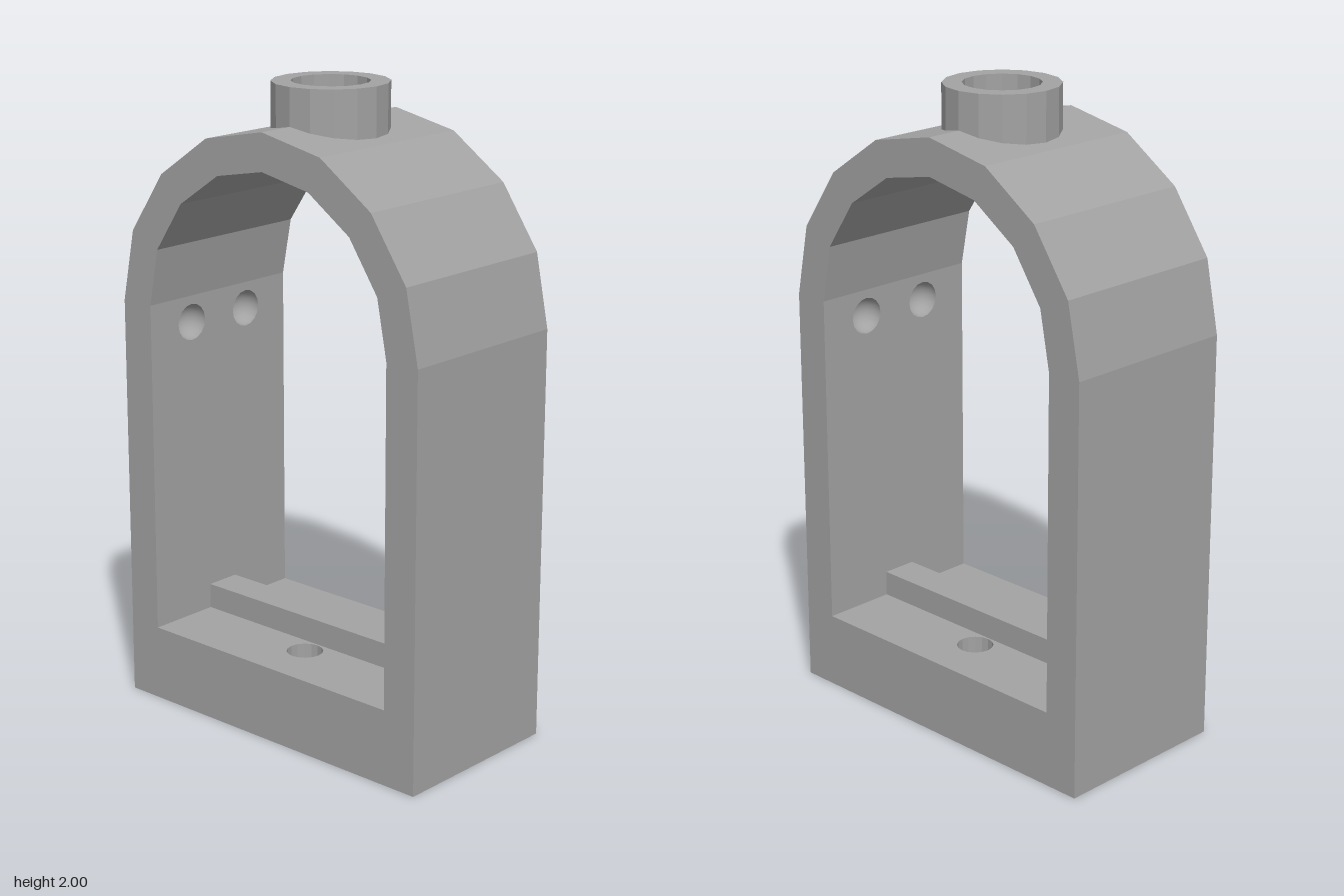
import * as THREE from 'three';

const HALF_W = 0.295, HALF_D = 0.59, INNER_D = 0.475;
const FLOOR_Y = 0.24, CAVITY_Y = 0.12, SPRING_Y = 1.295;
const DENT_R = 0.058, HOLE_R = 0.057, KNOB_X = 0.12;

function rectPoints(x0, y0, x1, y1) {
  return [[x0, y0], [x1, y0], [x1, y1], [x0, y1]].map(([x, y]) => new THREE.Vector2(x, y));
}

function circle(x, y, r) {
  return new THREE.Path().absarc(x, y, r, 0, Math.PI * 2, true);
}

function extrude(shape, depth) {
  return new THREE.ExtrudeGeometry(shape, { depth, bevelEnabled: false, curveSegments: 8 });
}

export function createModel() {
  const grey = new THREE.MeshStandardMaterial({ color: 0xa3a3a3, side: THREE.DoubleSide });
  grey.name = 'grey';
  const model = new THREE.Group();
  model.name = 'archedFrame';

  const add = (name, geometry, parent = model) => {
    const mesh = new THREE.Mesh(geometry, grey);
    mesh.name = name;
    parent.add(mesh);
    return mesh;
  };

  // Hollow skirt of the base, open underneath
  const skirt = new THREE.Shape(rectPoints(-HALF_W, -HALF_D, HALF_W, HALF_D));
  skirt.holes.push(new THREE.Path(rectPoints(-0.18, -INNER_D, 0.18, INNER_D).reverse()));
  add('baseSkirt', extrude(skirt, CAVITY_Y).rotateX(-Math.PI / 2));

  // Floor plate with two through holes
  const floor = new THREE.Shape(rectPoints(-HALF_W, -HALF_D, HALF_W, HALF_D));
  for (const s of [-1, 1]) floor.holes.push(circle(s * KNOB_X, 0, HOLE_R));
  add('baseFloor', extrude(floor, FLOOR_Y - CAVITY_Y).rotateX(-Math.PI / 2).translate(0, CAVITY_Y, 0));

  // Small ribs inside the cavity
  for (const sx of [-1, 1]) {
    for (const sz of [-1, 1]) {
      add('cavityRib', new THREE.BoxGeometry(0.06, CAVITY_Y, 0.06))
        .position.set(sx * 0.15, CAVITY_Y / 2, sz * 0.19);
    }
  }

  // Raised bar along the floor
  add('floorBar', new THREE.BoxGeometry(0.115, 0.08, INNER_D * 2)).position.y = FLOOR_Y + 0.04;

  // Legs: plain outer slab, inner slab with two round dents
  const slab = 0.06, legH = SPRING_Y - FLOOR_Y;
  for (const turn of [0, Math.PI]) {
    const leg = new THREE.Group();
    leg.name = turn ? 'backLeg' : 'frontLeg';
    leg.rotation.y = turn;
    const outerT = HALF_D - INNER_D - slab;
    add('legOuterSlab', new THREE.BoxGeometry(HALF_W * 2, legH, outerT), leg)
      .position.set(0, FLOOR_Y + legH / 2, HALF_D - outerT / 2);

    const inner = new THREE.Shape(rectPoints(-HALF_W, FLOOR_Y, HALF_W, SPRING_Y));
    for (const s of [-1, 1]) {
      inner.holes.push(circle(s * KNOB_X, 1.21, DENT_R));
      const dent = new THREE.SphereGeometry(DENT_R, 16, 6, 0, Math.PI * 2, 0, Math.PI / 2);
      add('dent', dent.rotateX(Math.PI / 2), leg).position.set(s * KNOB_X, 1.21, INNER_D);
    }
    add('legInnerSlab', extrude(inner, slab).translate(0, 0, INNER_D), leg);
    model.add(leg);
  }

  // Faceted arch, drawn as a z-y section and extruded across the width
  const outerArc = [[0.59, SPRING_Y], [0.545, 1.52], [0.415, 1.71], [0.225, 1.84], [0, 1.885]];
  const innerArc = [[0.475, SPRING_Y], [0.44, 1.475], [0.335, 1.63], [0.18, 1.735], [0, 1.77]];
  const fullArc = (half) => [...half, ...half.slice(0, -1).reverse().map(([z, y]) => [-z, y])];
  const section = [...fullArc(outerArc), ...fullArc(innerArc).reverse()];
  const arch = new THREE.Shape(section.map(([z, y]) => new THREE.Vector2(z, y)));
  add('arch', extrude(arch, HALF_W * 2).translate(0, 0, -HALF_W).rotateY(Math.PI / 2));

  // Hollow sixteen-sided stud on the crown
  const profile = [[0.177, 1.82], [0.177, 2], [0.118, 2], [0.118, 1.888], [0, 1.888]];
  const stud = new THREE.LatheGeometry(profile.map(([r, y]) => new THREE.Vector2(r, y)), 16).toNonIndexed();
  stud.computeVertexNormals();
  add('stud', stud);

  return model;
}
